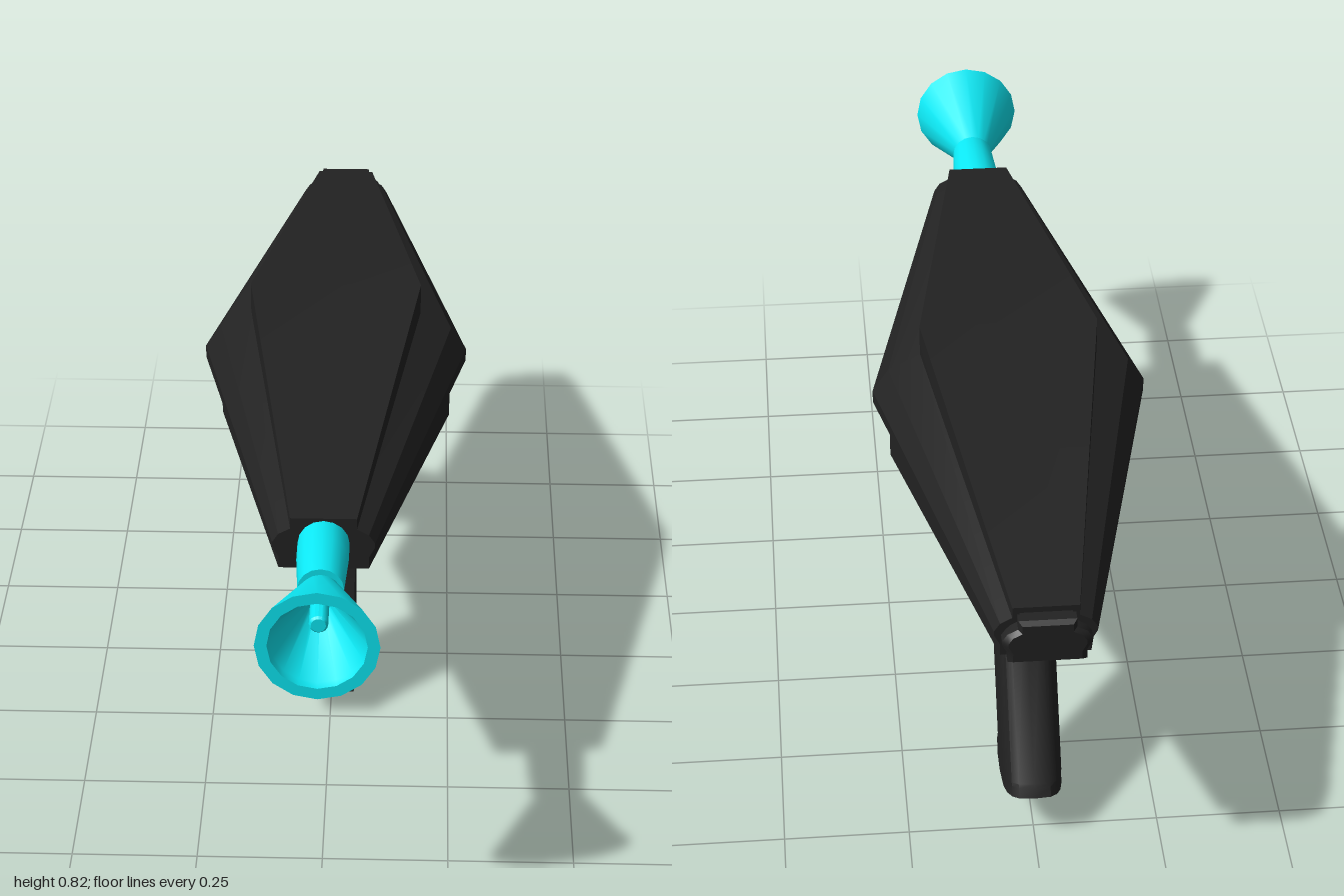
import * as THREE from 'three';
import { toCreasedNormals } from 'three/addons/utils/BufferGeometryUtils.js';

const dark = new THREE.MeshStandardMaterial({ color: 0x222222 });
const cyan = new THREE.MeshStandardMaterial({ color: 0x0ce9f5 });
const AXIS_Y = 0.67;

// Completes a right-hand half outline with its mirrored left half
const mirrored = half => [...half, ...half.map(([x, y]) => [-x, y]).reverse()];

// Skins a list of point rings (counter-clockwise about the travel direction) and caps both ends
function loft(rings, crease = 0.5) {
  const pos = [];
  const tri = (...pts) => pts.forEach(p => pos.push(p.x, p.y, p.z));
  const n = rings[0].length;
  for (let i = 0; i < rings.length - 1; i++) {
    for (let j = 0; j < n; j++) {
      const k = (j + 1) % n;
      const a = rings[i][j], b = rings[i][k], c = rings[i + 1][k], d = rings[i + 1][j];
      tri(a, b, c);
      tri(a, c, d);
    }
  }
  const cap = (ring, flip) => {
    const mid = ring.reduce((s, p) => s.add(p), new THREE.Vector3()).divideScalar(n);
    ring.forEach((p, j) => {
      const q = ring[(j + 1) % n];
      flip ? tri(mid, q, p) : tri(mid, p, q);
    });
  };
  cap(rings[0], true);
  cap(rings[rings.length - 1], false);
  const geo = new THREE.BufferGeometry();
  geo.setAttribute('position', new THREE.Float32BufferAttribute(pos, 3));
  return toCreasedNormals(geo, crease);
}

// Downward loft: each station is [frontZ, frontY, backZ, backY]; section is [x, u], u from back 0 to front 1
function hangingLoft(section, stations) {
  return loft(stations.map(([fz, fy, bz, by]) => section.map(([x, u]) =>
    new THREE.Vector3(x, by + (fy - by) * u, bz + (fz - bz) * u))));
}

// Extrudes a side profile of [z, y] points symmetrically across x
function sideExtrude(points, halfWidth, hole) {
  const shape = new THREE.Shape(points.map(p => new THREE.Vector2(...p)));
  if (hole) shape.holes.push(hole);
  const geo = new THREE.ExtrudeGeometry(shape, { depth: halfWidth * 2, bevelEnabled: false, curveSegments: 5 });
  return toCreasedNormals(geo.translate(0, 0, -halfWidth).rotateY(-Math.PI / 2), 0.6);
}

export function createModel() {
  const group = new THREE.Group();
  const add = (name, geo, mat = dark) => {
    const mesh = new THREE.Mesh(geo, mat);
    mesh.name = name;
    group.add(mesh);
    return mesh;
  };

  // Diamond-shaped body tapering to both ends
  const bodySection = mirrored([[0.245, -0.155], [0.245, -0.085], [0.278, -0.022], [0.278, 0.005],
    [0.245, 0.055], [0.18, 0.09], [0.18, 0.155]]);
  const bodyRings = stations => stations.map(([z, s]) =>
    bodySection.map(([x, y]) => new THREE.Vector3(x * s, AXIS_Y + y * s, z)));
  add('body', loft(bodyRings([[-0.96, 0.345], [-0.16, 1], [0.64, 0.355]]), 0.35));
  add('rearNeck', loft(bodyRings([[-0.975, 0.27], [-0.95, 0.27]])));
  add('rearCap', loft(bodyRings([[-1, 0.26], [-0.99, 0.3], [-0.97, 0.3]])));

  // Magazine well with a flared slanted lip
  add('magazineWell', sideExtrude([[0.2, 0.57], [0.2, 0.41], [-0.11, 0.36], [-0.11, 0.57]], 0.085));
  add('magazineWellLip', sideExtrude([[0.2, 0.435], [0.21, 0.42], [0.207, 0.402], [-0.115, 0.35],
    [-0.115, 0.375]], 0.09));

  // Curved magazine with grooved sides
  const magSection = mirrored([[0.05, 0], [0.05, 0.2], [0.042, 0.23], [0.042, 0.32], [0.05, 0.35],
    [0.05, 0.48], [0.042, 0.51], [0.042, 0.6], [0.05, 0.63], [0.05, 1]]);
  const front = new THREE.QuadraticBezierCurve(
    new THREE.Vector2(0.165, 0.42), new THREE.Vector2(0.185, 0.24), new THREE.Vector2(0.245, 0.062));
  const back = new THREE.QuadraticBezierCurve(
    new THREE.Vector2(-0.022, 0.39), new THREE.Vector2(-0.005, 0.19), new THREE.Vector2(0.055, 0.002));
  add('magazine', hangingLoft(magSection, Array.from({ length: 7 }, (_, i) => {
    const f = front.getPoint(i / 6), b = back.getPoint(i / 6);
    return [f.x, f.y, b.x, b.y];
  })));

  // Trigger guard with a rounded opening
  const z0 = -0.355, z1 = -0.122, y0 = 0.38, y1 = 0.508, r = 0.045, q = 0.02;
  const opening = new THREE.Path();
  opening.moveTo(z0 + q, y0);
  opening.lineTo(z1 - q, y0);
  opening.quadraticCurveTo(z1 - q, y0 + q, z1, y0 + 2 * q);
  opening.lineTo(z1, y1 - r);
  opening.quadraticCurveTo(z1, y1, z1 - r, y1);
  opening.lineTo(z0 + r, y1);
  opening.quadraticCurveTo(z0, y1, z0, y1 - r);
  opening.lineTo(z0, y0 + 2 * q);
  opening.quadraticCurveTo(z0 + q, y0 + q, z0 + q, y0);
  add('triggerGuard', sideExtrude([[-0.1, 0.53], [-0.1, 0.36], [-0.39, 0.36], [-0.41, 0.53]], 0.035, opening));

  // Mounting block above the grip
  add('gripMount', sideExtrude([[-0.35, 0.58], [-0.36, 0.508], [-0.53, 0.508], [-0.548, 0.58]], 0.085));

  // Rounded raked grip with a small toe at the base
  const gripSection = Array.from({ length: 20 }, (_, i) => {
    const a = (i / 20) * Math.PI * 2;
    const soft = v => Math.sign(v) * Math.abs(v) ** 0.55;
    return [0.06 * soft(Math.cos(a)), 0.5 + 0.5 * soft(Math.sin(a))];
  });
  add('grip', hangingLoft(gripSection, [
    [-0.358, 0.53, -0.53, 0.53], [-0.39, 0.355, -0.54, 0.47], [-0.55, 0.088, -0.775, 0.132],
    [-0.51, 0.075, -0.78, 0.125], [-0.528, 0.04, -0.79, 0.108]]));

  // Barrel and hollow flared nozzle, turned about the z axis
  const turned = (name, points) => {
    const lathe = new THREE.LatheGeometry(points.map(([rad, z]) => new THREE.Vector2(rad, z)), 16);
    const mesh = add(name, toCreasedNormals(lathe.rotateX(Math.PI / 2), 0.5), cyan);
    mesh.position.y = AXIS_Y;
  };
  turned('barrel', [[0, 0.62], [0.05, 0.62], [0.05, 0.7], [0.044, 0.805], [0, 0.805]]);
  turned('barrelNeck', [[0.026, 0.79], [0.026, 0.83]]);
  turned('nozzle', [[0, 0.815], [0.038, 0.815], [0.115, 1], [0.092, 1], [0.088, 0.985], [0.02, 0.85], [0, 0.85]]);
  turned('nozzleTip', [[0.018, 0.84], [0.018, 0.925], [0.014, 0.93], [0, 0.93]]);

  return group;
}
